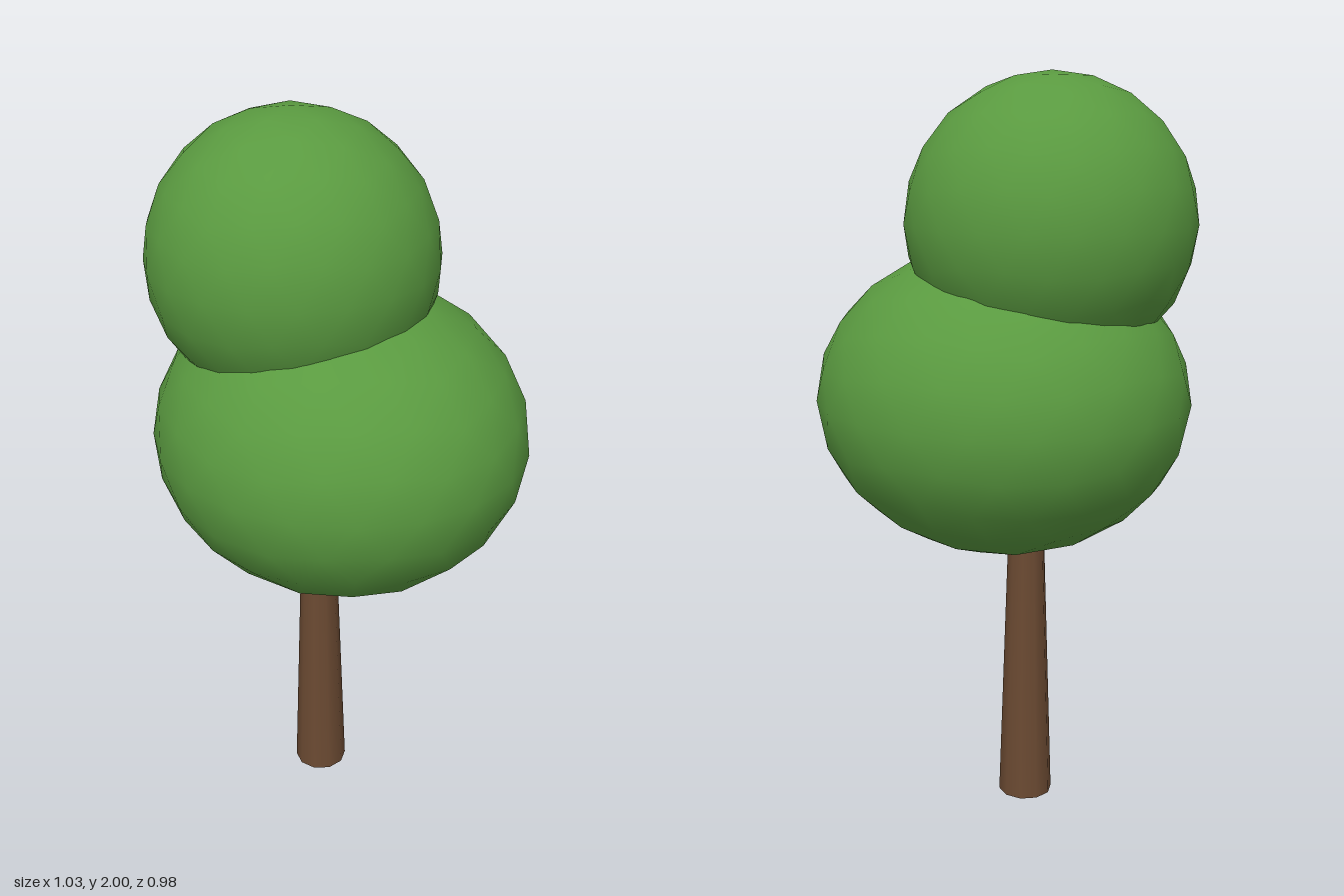
import * as THREE from 'three';

// Unit icosphere with its pole pointing up and an upper-ring corner at +x
function icosphere(levels) {
  const verts = [0, 1, 0];
  for (const [y, turn] of [[1, 0], [-1, 0.5]]) {
    for (let k = 0; k < 5; k++) {
      const a = ((k + turn) * Math.PI * 2) / 5;
      verts.push(Math.cos(a) * 2, y, -Math.sin(a) * 2);
    }
  }
  verts.push(0, -1, 0);

  const faces = [];
  for (let k = 0; k < 5; k++) {
    const n = (k + 1) % 5;
    const u = 1 + k, u2 = 1 + n, l = 6 + k, l2 = 6 + n;
    faces.push(0, u, u2, u, l, u2, l, l2, u2, l2, l, 11);
  }

  // Halve every edge once per level, pushing new points onto the sphere
  let geo = new THREE.PolyhedronGeometry(verts, faces, 1, 0);
  for (let i = 0; i < levels; i++) {
    const points = Array.from(geo.attributes.position.array);
    geo = new THREE.PolyhedronGeometry(points, points.slice(0, points.length / 3).map((_, j) => j), 1, 1);
  }
  return geo;
}

export function createModel() {
  const bark = new THREE.MeshStandardMaterial({ color: 0x6b4a32 });
  bark.name = 'bark brown';
  const leaf = new THREE.MeshStandardMaterial({ color: 0x5a9a40 });
  leaf.name = 'leaf green';

  const tree = new THREE.Group();
  tree.name = 'tree';

  // Tapered trunk, its top buried in the foliage
  const height = 0.85;
  const trunk = new THREE.Mesh(new THREE.CylinderGeometry(0.047, 0.075, height, 10), bark);
  trunk.name = 'trunk';
  trunk.position.set(-0.062, height / 2, 0.03);
  tree.add(trunk);

  // Two overlapping foliage balls, the lower one wide and flattened
  const ball = icosphere(2);
  const addFoliage = (name, position, radii) => {
    const mesh = new THREE.Mesh(ball, leaf);
    mesh.name = name;
    mesh.position.set(...position);
    mesh.scale.set(...radii);
    tree.add(mesh);
  };
  addFoliage('lowerFoliage', [0, 1.15, 0], [0.515, 0.418, 0.491]);
  addFoliage('upperFoliage', [-0.119, 1.62, 0.058], [0.38, 0.38, 0.38]);

  return tree;
}
